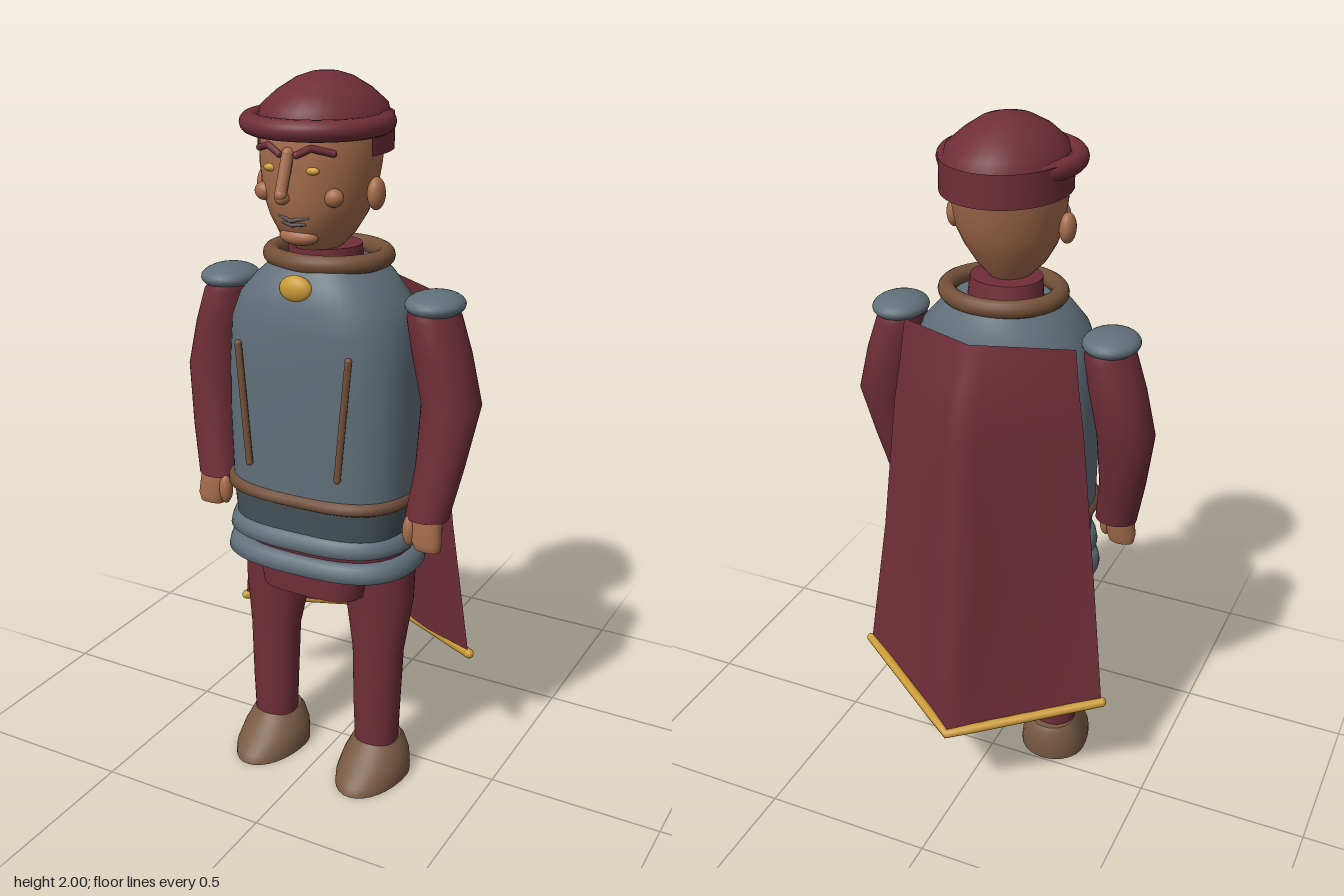
import * as THREE from 'three';

const mat = (name, color, side = THREE.FrontSide) => {
  const m = new THREE.MeshStandardMaterial({ color, side });
  m.name = name;
  return m;
};

// Stacked horizontal sections, bottom to top: [y, cx, cz, rx, front depth, back depth].
// nFront above 2 makes the front half squarer.
function loft(sections, nFront = 2, segs = 32) {
  const pos = [], idx = [];
  const ring = ([y, cx, cz, rx, rf, rb]) => {
    const start = pos.length / 3;
    for (let i = 0; i < segs; i++) {
      const a = (i / segs) * Math.PI * 2, c = Math.cos(a), s = Math.sin(a);
      const e = s > 0 ? 2 / nFront : 1;
      pos.push(cx + rx * Math.sign(c) * Math.abs(c) ** e, y,
        cz + (s > 0 ? rf : rb) * Math.sign(s) * Math.abs(s) ** e);
    }
    return start;
  };
  const rows = sections.map(ring);
  for (let j = 0; j < rows.length - 1; j++) {
    for (let i = 0; i < segs; i++) {
      const k = (i + 1) % segs, a = rows[j], b = rows[j + 1];
      idx.push(a + k, a + i, b + i, a + k, b + i, b + k);
    }
  }
  // flat end caps
  [sections[0], sections[sections.length - 1]].forEach((s, top) => {
    const r = ring(s), c = pos.length / 3;
    pos.push(s[1], s[0], s[2]);
    for (let i = 0; i < segs; i++) {
      const k = (i + 1) % segs;
      idx.push(c, r + (top ? k : i), r + (top ? i : k));
    }
  });
  return finish(pos, idx);
}

function finish(pos, idx) {
  const g = new THREE.BufferGeometry();
  g.setAttribute('position', new THREE.Float32BufferAttribute(pos, 3));
  g.setIndex(idx);
  g.computeVertexNormals();
  return g;
}

export function createModel() {
  const maroon = mat('maroon cloth', 0x702e39);
  const cloth = mat('maroon cape cloth', 0x702e39, THREE.DoubleSide);
  const steel = mat('steel', 0x61707a);
  const darkSteel = mat('dark steel', 0x465259);
  const skin = mat('skin', 0xa66d4c);
  const leather = mat('leather', 0x735039);
  const boot = mat('boot brown', 0x785a43);
  const gold = mat('gold', 0xcc9c36);
  const grey = mat('mouth grey', 0x5c5653);

  const model = new THREE.Group();
  model.name = 'caped guard';
  const add = (name, geo, material) => {
    const m = new THREE.Mesh(geo, material);
    m.name = name;
    model.add(m);
    return m;
  };
  const ball = (name, [x, y, z], [rx, ry, rz], material) => {
    const m = add(name, new THREE.SphereGeometry(1, 24, 16), material);
    m.position.set(x, y, z);
    m.scale.set(rx, ry, rz);
    return m;
  };
  const rod = (name, points, r, material) => {
    const curve = new THREE.CurvePath();
    const v = points.map((p) => new THREE.Vector3(...p));
    for (let i = 1; i < v.length; i++) curve.add(new THREE.LineCurve3(v[i - 1], v[i]));
    add(name, new THREE.TubeGeometry(curve, 12, r, 8), material);
    [v[0], v[v.length - 1]].forEach((p) => ball(name + 'End', p.toArray(), [r, r, r], material));
  };
  const hoop = (name, y, z, R, r, sx, sz, material) => {
    const g = new THREE.TorusGeometry(R, r, 14, 48).rotateX(Math.PI / 2).scale(sx, 1, sz);
    const m = add(name, g, material);
    m.position.set(0, y, z);
  };

  // Head and face
  add('head', loft([
    [1.565, 0, 0.12, 0.06, 0.08, 0.07], [1.60, 0, 0.12, 0.095, 0.12, 0.095],
    [1.65, 0, 0.115, 0.125, 0.145, 0.12], [1.70, 0, 0.11, 0.145, 0.16, 0.14],
    [1.78, 0, 0.105, 0.155, 0.17, 0.16], [1.86, 0, 0.1, 0.157, 0.175, 0.17],
    [1.90, 0, 0.1, 0.14, 0.16, 0.16]]), skin);
  rod('nose', [[0, 1.82, 0.275], [0, 1.725, 0.312]], 0.016, skin);
  ball('noseTip', [0, 1.715, 0.305], [0.018, 0.016, 0.02], skin);
  ball('chin', [0, 1.605, 0.225], [0.055, 0.023, 0.03], skin);
  rod('mouth', [[-0.04, 1.66, 0.25], [0, 1.652, 0.268], [0.04, 1.66, 0.25]], 0.005, grey);
  rod('lowerLip', [[-0.03, 1.643, 0.25], [0, 1.64, 0.262], [0.03, 1.643, 0.25]], 0.005, grey);

  // Cap with rolled brim and a band around the back
  add('cap', loft([
    [1.87, 0, 0.09, 0.168, 0.19, 0.195], [1.92, 0, 0.09, 0.155, 0.185, 0.185],
    [1.955, 0, 0.09, 0.115, 0.145, 0.145], [1.985, 0, 0.088, 0.07, 0.085, 0.085],
    [1.997, 0, 0.085, 0.035, 0.04, 0.04], [2.0, 0, 0.085, 0.005, 0.005, 0.005]]), maroon);
  hoop('capBrim', 1.88, 0.125, 0.172, 0.027, 1, 1, maroon);
  const band = add('capBand', new THREE.CylinderGeometry(1, 1, 0.09, 32, 1, true,
    Math.PI / 2 - 0.3, Math.PI + 0.6), cloth);
  band.scale.set(0.173, 1, 0.197);
  band.position.set(0, 1.852, 0.09);

  // Neck, collar, breastplate and waist
  add('neck', loft([[1.45, 0, 0.08, 0.11, 0.1, 0.1], [1.565, 0, 0.09, 0.1, 0.09, 0.09]]), maroon);
  hoop('collar', 1.53, 0.07, 0.155, 0.025, 1, 0.89, leather);
  add('breastplate', loft([
    [0.88, 0, 0.07, 0.265, 0.2, 0.19], [1.1, 0, 0.07, 0.268, 0.205, 0.2],
    [1.25, 0, 0.07, 0.264, 0.205, 0.2], [1.36, 0, 0.07, 0.254, 0.203, 0.195],
    [1.43, 0, 0.07, 0.225, 0.195, 0.185], [1.48, 0, 0.07, 0.18, 0.175, 0.17],
    [1.515, 0, 0.07, 0.14, 0.15, 0.15]], 2.8, 48), steel);
  add('belt', loft([
    [0.872, 0, 0.07, 0.262, 0.2, 0.19], [0.88, 0, 0.07, 0.274, 0.214, 0.2],
    [0.9, 0, 0.07, 0.274, 0.214, 0.2], [0.908, 0, 0.07, 0.262, 0.2, 0.19]], 3, 48), leather);
  add('waist', loft([
    [0.74, 0, 0.07, 0.25, 0.19, 0.18], [0.88, 0, 0.07, 0.26, 0.2, 0.19]], 3, 48), darkSteel);
  [[0.77, 0.275], [0.698, 0.285]].forEach(([y, rx]) => add('skirtHoop', loft([
    [y - 0.026, 0, 0.07, rx - 0.012, 0.2, 0.19], [y - 0.02, 0, 0.07, rx, 0.215, 0.2],
    [y, 0, 0.07, rx - 0.004, 0.212, 0.198], [y + 0.02, 0, 0.07, rx - 0.012, 0.205, 0.19],
    [y + 0.026, 0, 0.07, rx - 0.03, 0.19, 0.175]], 2.8, 48), steel));
  add('hips', loft([
    [0.67, 0, 0.07, 0.25, 0.17, 0.14], [0.76, 0, 0.07, 0.255, 0.19, 0.17]], 2.6), maroon);
  add('tunicHem', loft([
    [0.59, 0, 0.07, 0.16, 0.165, 0.08], [0.72, 0, 0.07, 0.19, 0.165, 0.1]], 4), maroon);
  ball('brooch', [0, 1.472, 0.245], [0.047, 0.036, 0.025], gold);

  // Paired parts
  for (const s of [-1, 1]) {
    const side = s > 0 ? 'left' : 'right';
    ball(side + 'Ear', [s * 0.162, 1.71, 0.115], [0.022, 0.042, 0.03], skin);
    ball(side + 'Cheek', [s * 0.1, 1.712, 0.225], [0.026, 0.024, 0.022], skin);
    ball(side + 'Eye', [s * 0.06, 1.78, 0.26], [0.019, 0.01, 0.01], gold);
    rod(side + 'Brow', [[s * 0.025, 1.818, 0.277], [s * 0.06, 1.836, 0.268],
      [s * 0.105, 1.822, 0.235]], 0.009, maroon);
    rod(side + 'Strap', [[s * 0.165, 1.31, 0.268], [s * 0.135, 0.98, 0.274]], 0.01, leather);
    ball(side + 'Pauldron', [s * 0.312, 1.432, 0.07], [0.078, 0.034, 0.09], steel);
    add(side + 'Arm', loft([
      [0.86, s * 0.33, 0.13, 0.06, 0.05, 0.05], [1.0, s * 0.352, 0.105, 0.066, 0.06, 0.065],
      [1.17, s * 0.365, 0.07, 0.08, 0.08, 0.08], [1.3, s * 0.335, 0.07, 0.078, 0.085, 0.085],
      [1.4, s * 0.31, 0.07, 0.068, 0.088, 0.088], [1.44, s * 0.3, 0.07, 0.05, 0.065, 0.065]]), maroon);
    add(side + 'Hand', loft([
      [0.775, s * 0.343, 0.15, 0.036, 0.022, 0.022], [0.8, s * 0.341, 0.15, 0.042, 0.031, 0.031],
      [0.87, s * 0.335, 0.14, 0.042, 0.033, 0.033]], 2.6), skin);
    ball(side + 'Thumb', [s * 0.292, 0.825, 0.158], [0.019, 0.045, 0.021], skin);
    add(side + 'Leg', loft([
      [0.09, s * 0.17, 0.1, 0.064, 0.06, 0.06], [0.22, s * 0.17, 0.1, 0.069, 0.062, 0.064],
      [0.4, s * 0.17, 0.095, 0.075, 0.066, 0.068], [0.56, s * 0.165, 0.08, 0.1, 0.083, 0.085],
      [0.72, s * 0.15, 0.07, 0.115, 0.1, 0.1]]), maroon);
    add(side + 'Boot', loft([
      [0, s * 0.17, 0.1, 0.1, 0.175, 0.095], [0.025, s * 0.17, 0.1, 0.1, 0.167, 0.099],
      [0.06, s * 0.17, 0.09, 0.094, 0.13, 0.088], [0.095, s * 0.17, 0.085, 0.078, 0.09, 0.078],
      [0.112, s * 0.17, 0.085, 0.066, 0.075, 0.066]]), boot);
  }

  // Cape: rows of [middle y, edge y, middle z, edge z, half width], ridged along the spine
  const rows = [
    [1.46, 1.44, -0.155, -0.03, 0.25], [1.34, 1.32, -0.205, -0.035, 0.265],
    [1.19, 1.19, -0.25, -0.04, 0.285], [0.75, 0.77, -0.285, -0.045, 0.33],
    [0.295, 0.355, -0.325, -0.07, 0.38]];
  const cols = 12, pos = [], idx = [];
  rows.forEach(([ym, ye, zm, ze, w], j) => {
    for (let i = 0; i <= cols; i++) {
      const u = (i / cols) * 2 - 1, a = Math.abs(u);
      const fold = 0.012 * Math.sin(a * Math.PI) * (j / 4);
      pos.push(u * w, ym + (ye - ym) * a, zm + (ze - zm) * a + fold);
      if (j && i) {
        const p = j * (cols + 1) + i, q = p - cols - 1;
        idx.push(q, p, q - 1, p, p - 1, q - 1);
      }
    }
  });
  add('cape', finish(pos, idx), cloth);
  rod('capeTrim', [[-0.382, 0.352, -0.072], [0, 0.298, -0.328], [0.382, 0.352, -0.072]], 0.014, gold);

  return model;
}
